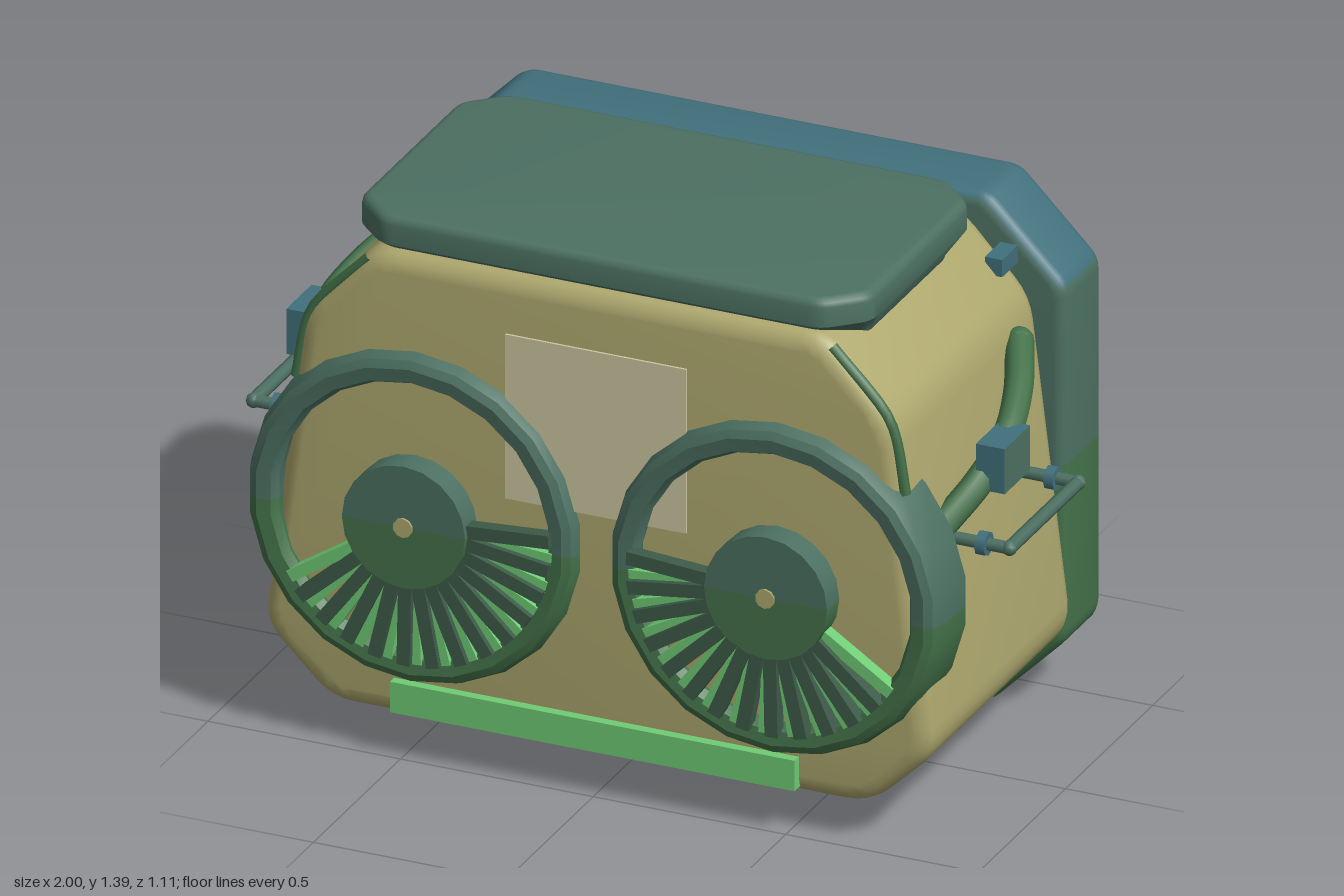
import * as THREE from 'three';
import { toCreasedNormals } from 'three/addons/utils/BufferGeometryUtils.js';

const paint = (name, color) => new THREE.MeshStandardMaterial({ name, color });
const M = {
  olive: paint('olive', 0xaea86e),
  pale: paint('paleOlive', 0xcdc9a2),
  teal: paint('greyTeal', 0x4c7062),
  blue: paint('blueTeal', 0x41707c),
  green: paint('green', 0x44724a),
  dark: paint('darkGreen', 0x3d5a48),
  light: paint('lightGreen', 0x70cc76),
};

function add(parent, name, geo, mat, x = 0, y = 0, z = 0) {
  const mesh = new THREE.Mesh(geo, mat);
  mesh.name = name;
  mesh.position.set(x, y, z);
  parent.add(mesh);
  return mesh;
}

// Polygon outline with rounded corners
function outline(pts, r) {
  const v = pts.map((p) => new THREE.Vector2(...p));
  const shape = new THREE.Shape();
  v.forEach((p, i) => {
    const prev = v[(i + v.length - 1) % v.length], next = v[(i + 1) % v.length];
    const a = prev.clone().sub(p).setLength(r).add(p);
    const b = next.clone().sub(p).setLength(r).add(p);
    if (i) shape.lineTo(a.x, a.y); else shape.moveTo(a.x, a.y);
    shape.quadraticCurveTo(p.x, p.y, b.x, b.y);
  });
  shape.closePath();
  return shape;
}

// Bevelled slab from z0 to z1 whose outline is the outermost edge
function slab(pts, r, bevel, z0, z1, steps = 1) {
  const geo = new THREE.ExtrudeGeometry(outline(pts, r), {
    depth: z1 - z0 - 2 * bevel, steps, curveSegments: 4,
    bevelEnabled: true, bevelSize: bevel, bevelThickness: bevel, bevelOffset: -bevel, bevelSegments: 3,
  });
  return geo.translate(0, 0, z0 + bevel);
}

// Cuts a geometry at a height; each piece is coloured by height and by upward slope
function addTwoTone(parent, name, source, cut, topMat) {
  const geo = source.index ? source.toNonIndexed() : source;
  const P = geo.attributes.position, N = geo.attributes.normal;
  const pieces = { Lower: [M.green, []], Upper: [M.teal, []], Top: [topMat, []] };
  const clip = (poly, sign) => {
    const out = [];
    poly.forEach((a, i) => {
      const b = poly[(i + 1) % poly.length];
      const da = sign * (a[1] - cut), db = sign * (b[1] - cut);
      if (da >= 0) out.push(a);
      if (da * db < 0) out.push(a.map((s, k) => s + (b[k] - s) * (da / (da - db))));
    });
    return out;
  };
  for (let i = 0; i < P.count; i += 3) {
    const tri = [i, i + 1, i + 2].map((j) => [P.getX(j), P.getY(j), P.getZ(j), N.getX(j), N.getY(j), N.getZ(j)]);
    const slope = (tri[0][4] + tri[1][4] + tri[2][4]) / 3;
    for (const sign of [-1, 1]) {
      const poly = clip(tri, sign);
      const list = pieces[sign < 0 ? 'Lower' : slope > 0.4 ? 'Top' : 'Upper'][1];
      for (let k = 1; k + 1 < poly.length; k++) list.push(poly[0], poly[k], poly[k + 1]);
    }
  }
  for (const [part, [mat, verts]] of Object.entries(pieces)) {
    if (!verts.length) continue;
    const g = new THREE.BufferGeometry();
    g.setAttribute('position', new THREE.Float32BufferAttribute(verts.flatMap((q) => q.slice(0, 3)), 3));
    g.setAttribute('normal', new THREE.Float32BufferAttribute(verts.flatMap((q) => q.slice(3)), 3));
    add(parent, name + part, g, mat);
  }
}

// Wheel with rim, hub and a lower fan of spokes; side is +1 for the model's left
function wheel(side) {
  const g = new THREE.Group();
  g.name = side > 0 ? 'leftWheel' : 'rightWheel';
  const cx = side * 0.47, cy = 0.635;
  const profile = [[0.36, 0.365], [0.44, 0.365], [0.435, 0.47], [0.42, 0.51], [0.4, 0.52], [0.365, 0.515], [0.352, 0.49], [0.36, 0.365]];
  const rim = new THREE.LatheGeometry(profile.map((p) => new THREE.Vector2(...p)), 22);
  rim.rotateX(Math.PI / 2).translate(cx, cy, 0);
  addTwoTone(g, 'rim', toCreasedNormals(rim, 0.45), 0.62, M.teal);
  const hub = new THREE.CylinderGeometry(0.16, 0.16, 0.09, 20);
  hub.rotateX(Math.PI / 2).translate(cx, cy, 0.505);
  addTwoTone(g, 'hub', hub, cy, M.teal);
  add(g, 'hubCap', new THREE.CylinderGeometry(0.025, 0.025, 0.008, 10).rotateX(Math.PI / 2), M.olive, cx, cy, 0.552);

  const bar = (name, mat, deg, w, z) => {
    const a = THREE.MathUtils.degToRad(deg);
    const angle = side < 0 ? a : Math.PI - a;
    const mesh = add(g, name, new THREE.BoxGeometry(0.23, w, 0.035), mat,
      cx + 0.255 * Math.cos(angle), cy + 0.255 * Math.sin(angle), z);
    mesh.rotation.z = angle;
  };
  for (let i = 0; i < 13; i++) {
    bar('spoke', M.dark, 4 - i * 11.9, 0.034, 0.518);
    bar('spokeLight', M.light, -4 - i * 11.9, 0.03, 0.503);
  }
  return g;
}

// Mirror, curved arm, grab handle and clip on one flank
function flank(s) {
  const g = new THREE.Group();
  g.name = s > 0 ? 'leftFittings' : 'rightFittings';
  const curve = (pts) => new THREE.CatmullRomCurve3(pts.map(([x, y, z]) => new THREE.Vector3(s * x, y, z)));
  const arm = curve([[0.81, 0.78, 0.29], [0.86, 0.86, 0.19], [0.88, 0.93, 0.08], [0.85, 0.99, -0.06], [0.79, 1.045, -0.2]]);
  add(g, 'arm', new THREE.TubeGeometry(arm, 20, 0.036, 10), M.green);
  for (const t of [0, 1]) {
    const p = arm.getPoint(t);
    add(g, 'armEnd', new THREE.SphereGeometry(0.036, 10, 8), M.green, p.x, p.y, p.z);
  }
  add(g, 'mirror', new THREE.BoxGeometry(0.075, 0.118, 0.145),
    [M.teal, M.teal, M.blue, M.blue, M.blue, M.blue], s * 0.895, 0.905, 0.127);

  add(g, 'handleBar', new THREE.CylinderGeometry(0.017, 0.017, 0.41, 8).rotateX(Math.PI / 2), M.teal, s * 0.981, 0.75, 0.083);
  for (const z of [0.28, -0.115]) {
    add(g, 'handlePost', new THREE.CylinderGeometry(0.016, 0.016, 0.19, 8).rotateZ(Math.PI / 2), M.teal, s * 0.895, 0.75, z);
    add(g, 'handleCollar', new THREE.CylinderGeometry(0.03, 0.03, 0.025, 8).rotateZ(Math.PI / 2), M.blue, s * 0.915, 0.75, z);
    add(g, 'handleEnd', new THREE.SphereGeometry(0.019, 8, 6), M.teal, s * 0.981, 0.75, z);
  }
  add(g, 'clip', new THREE.BoxGeometry(0.045, 0.045, 0.1), M.blue, s * 0.7, 1.2, -0.3);

  // Slim trim along the front shoulder edge
  const trim = curve([[0.6, 1.28, 0.455], [0.74, 1.13, 0.455], [0.765, 1.07, 0.455], [0.79, 0.93, 0.455]]);
  add(g, 'shoulderTrim', new THREE.TubeGeometry(trim, 12, 0.014, 6), M.green);
  return g;
}

const mirrored = (half) => [...half, ...half.slice().reverse().map(([x, y]) => [-x, y])];

export function createModel() {
  const model = new THREE.Group();
  model.name = 'model';

  // Tapered main body
  const bodyPts = mirrored([[0.7, 0.1], [0.875, 0.27], [0.77, 1.11], [0.585, 1.31]]);
  add(model, 'body', toCreasedNormals(slab(bodyPts, 0.06, 0.045, -0.34, 0.48), 0.7), M.olive);

  // Chamfered rear slab
  const rearPts = mirrored([[0.64, 0], [0.845, 0.205], [0.845, 1.13], [0.64, 1.335]]);
  addTwoTone(model, 'rearSlab', toCreasedNormals(slab(rearPts, 0.03, 0.03, -0.555, -0.34), 0.6), 0.665, M.blue);

  // Roof pod, drawn in plan and narrowed underneath
  const podPts = mirrored([[0.57, -0.37], [0.665, -0.28], [0.665, 0.28], [0.57, 0.37]]);
  const pod = slab(podPts, 0.03, 0.022, 1.25, 1.395, 2).rotateX(-Math.PI / 2);
  const p = pod.attributes.position;
  for (let i = 0; i < p.count; i++) {
    if (p.getY(i) < 1.3) p.setXYZ(i, p.getX(i) * 0.95, p.getY(i), p.getZ(i) * 0.82);
  }
  add(model, 'roofPod', toCreasedNormals(pod, 0.6), M.teal, 0, 0, 0.09);

  // Front panel and bumper
  add(model, 'frontPanel', new THREE.BoxGeometry(0.47, 0.43, 0.008), M.pale, 0, 0.945, 0.482);
  add(model, 'bumper', new THREE.BoxGeometry(1.05, 0.08, 0.04), M.light, 0, 0.16, 0.485);

  for (const s of [-1, 1]) model.add(wheel(s), flank(s));
  return model;
}
